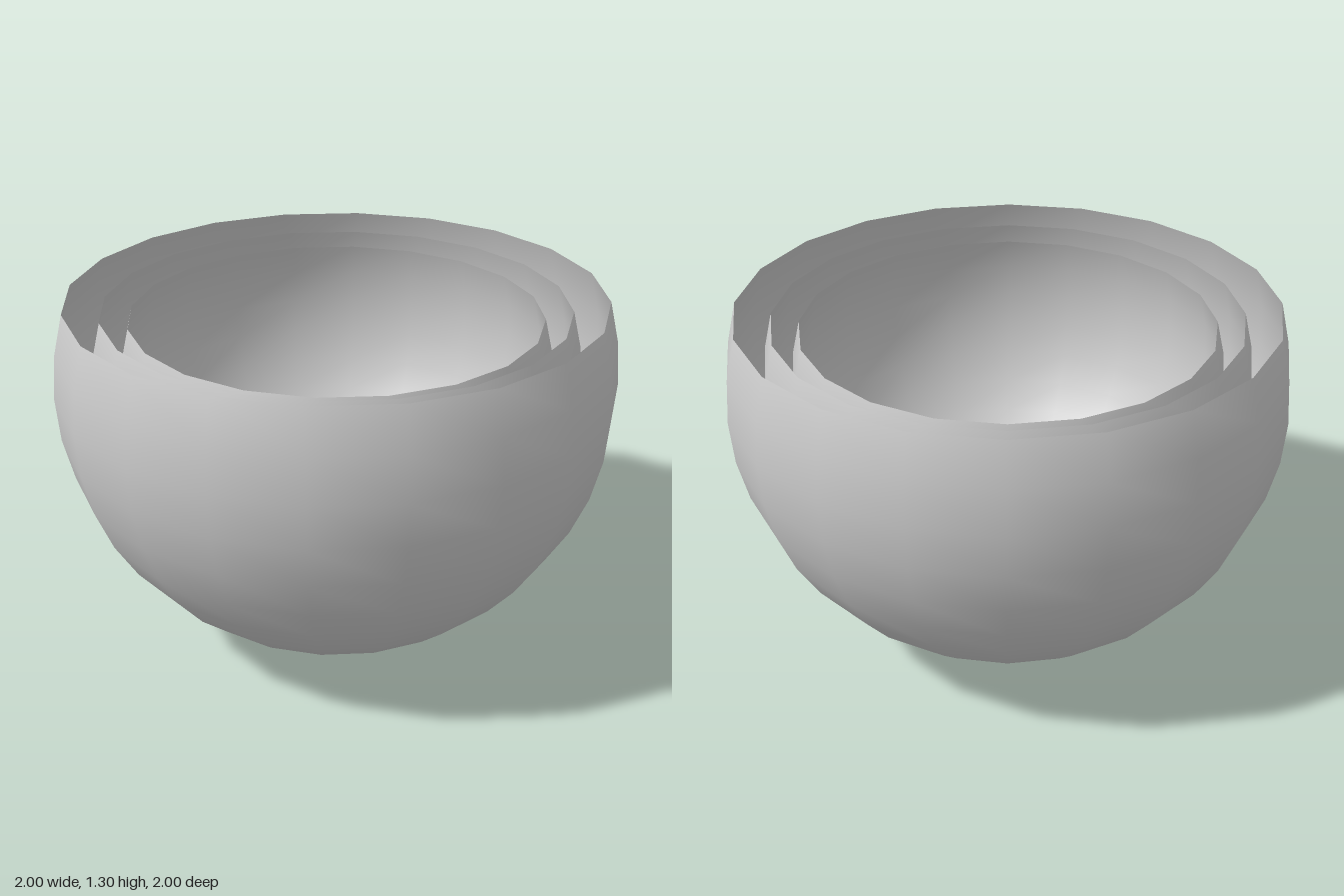
import * as THREE from 'three';

// Three concentric thin bowls, each a sphere cut open at the top and drilled at the bottom
export function createModel() {
  const group = new THREE.Group();
  group.name = 'nestedBowls';
  const material = new THREE.MeshStandardMaterial({ color: 0xcccccc, side: THREE.DoubleSide });
  const step = Math.PI / 20;
  const rimAngle = 8 * step;
  const holeAngle = 19 * step;
  const centreY = -Math.cos(holeAngle); // puts the lowest edge on the ground

  const shells = [['outerBowl', 1], ['middleBowl', 0.87], ['innerBowl', 0.77]];
  for (const [name, radius] of shells) {
    const geometry = new THREE.SphereGeometry(
      radius, 20, 11, 0, Math.PI * 2, rimAngle, holeAngle - rimAngle);
    const bowl = new THREE.Mesh(geometry, material);
    bowl.name = name;
    bowl.position.y = centreY;
    group.add(bowl);
  }
  return group;
}
